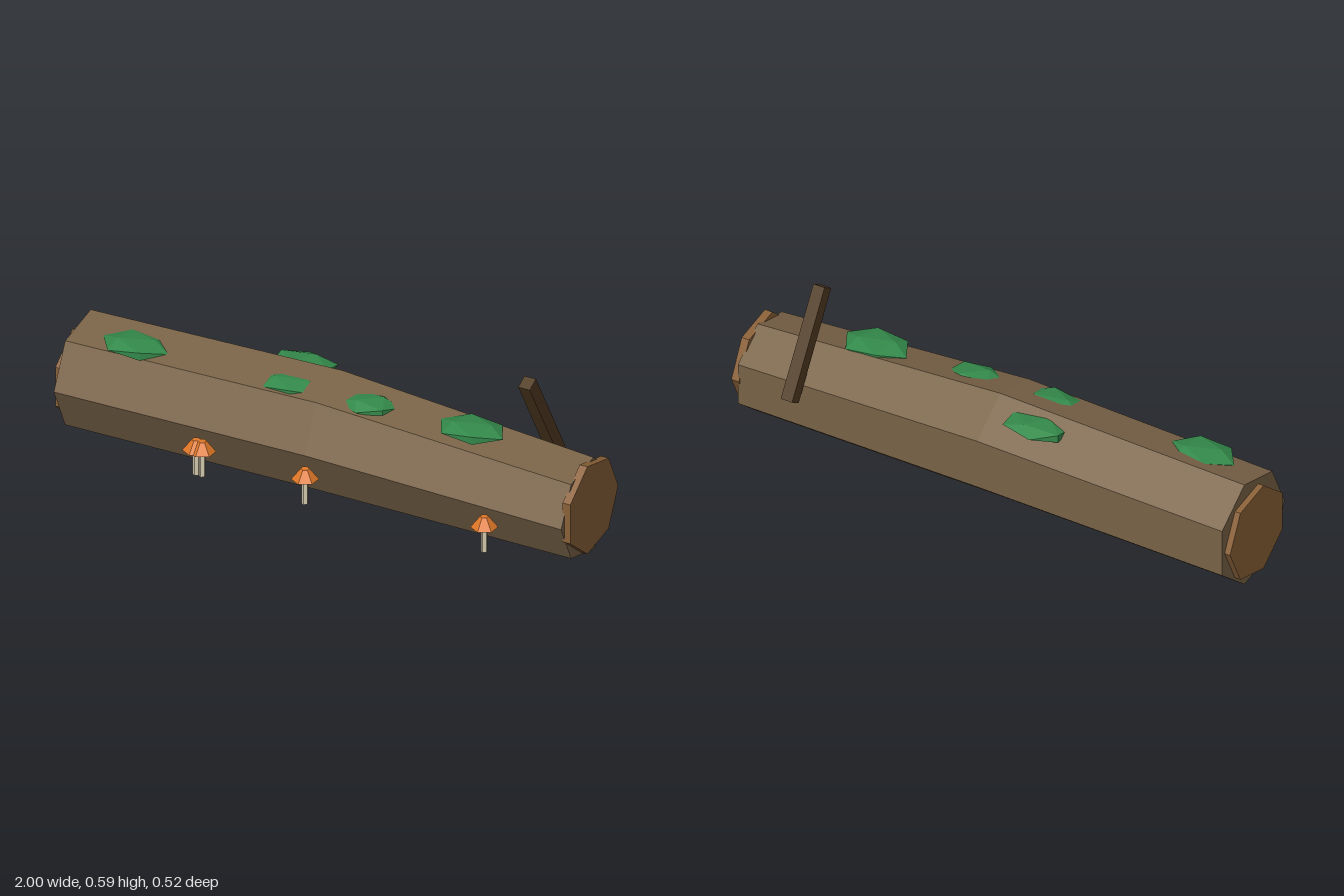
import * as THREE from 'three';

const mat = (name, color) => {
  const m = new THREE.MeshStandardMaterial({ color, flatShading: true });
  m.name = name;
  return m;
};

export function createModel() {
  const bark = mat('bark brown', 0x7a6347);
  const cutWood = mat('cut wood', 0x8a6138);
  const darkBark = mat('dark bark', 0x523c23);
  const moss = mat('moss green', 0x348a4b);
  const capOrange = mat('mushroom orange', 0xe07828);
  const stemCream = mat('stem cream', 0xd8cdb0);

  const model = new THREE.Group();
  model.name = 'mossyLog';
  const add = (parent, name, geometry, material, x, y, z) => {
    const mesh = new THREE.Mesh(geometry, material);
    mesh.name = name;
    mesh.position.set(x, y, z);
    parent.add(mesh);
    return mesh;
  };

  // Seven-sided trunk along x, swollen and lifted at its middle ring
  const trunk = new THREE.CylinderGeometry(0.18, 0.205, 1.956, 7, 2);
  trunk.rotateZ(-Math.PI / 2);
  const p = trunk.attributes.position;
  for (let i = 0; i < p.count; i++) {
    const x = p.getX(i);
    const middle = Math.abs(x) < 0.1;
    const k = middle ? 1.1 : 1;
    const centreY = middle ? 0.217 : x < 0 ? 0.2 : 0.177;
    p.setXYZ(i, x, centreY + p.getY(i) * k, p.getZ(i) * k - 0.018);
  }
  trunk.computeVertexNormals();
  add(model, 'trunk', trunk, bark, 0, 0, 0);

  // Cut ends, turned half a side against the trunk
  for (const side of [-1, 1]) {
    const disc = new THREE.CylinderGeometry(0.171, 0.171, 0.03, 7, 1, false, Math.PI);
    disc.rotateZ(-Math.PI / 2);
    add(model, side > 0 ? 'leftCutEnd' : 'rightCutEnd', disc, cutWood, side * 0.985, 0.192, -0.016);
  }

  // Broken branch leaning forward from the back
  const branch = add(model, 'branch', new THREE.BoxGeometry(0.045, 0.406, 0.048), darkBark, 0.732, 0.405, -0.138);
  branch.rotation.x = Math.PI / 6;

  // Flattened moss clumps, partly sunk in the trunk: x, z, radius x, radius z, turn
  const clumps = [
    [-0.737, 0.05, 0.13, 0.093, 0.5],
    [-0.178, -0.115, 0.13, 0.085, 1.2],
    [-0.14, 0.035, 0.12, 0.085, 0.3],
    [0.16, 0.03, 0.11, 0.08, 0.9],
    [0.547, 0.015, 0.13, 0.095, 0.4],
  ];
  for (const [x, z, rx, rz, turn] of clumps) {
    const clump = new THREE.IcosahedronGeometry(1, 0);
    clump.rotateY(turn);
    clump.scale(rx, 0.027, rz);
    add(model, 'mossClump', clump, moss, x, 0.38, z);
  }

  // Mushrooms along the front
  for (const x of [-0.411, -0.387, 0.012, 0.708]) {
    const mushroom = new THREE.Group();
    mushroom.name = 'mushroom';
    mushroom.position.set(x, 0, 0.212);
    add(mushroom, 'stem', new THREE.CylinderGeometry(0.012, 0.012, 0.094, 5), stemCream, 0, 0.094, 0);
    add(mushroom, 'cap', new THREE.CylinderGeometry(0.015, 0.047, 0.04, 6), capOrange, 0, 0.16, 0);
    model.add(mushroom);
  }

  return model;
}
